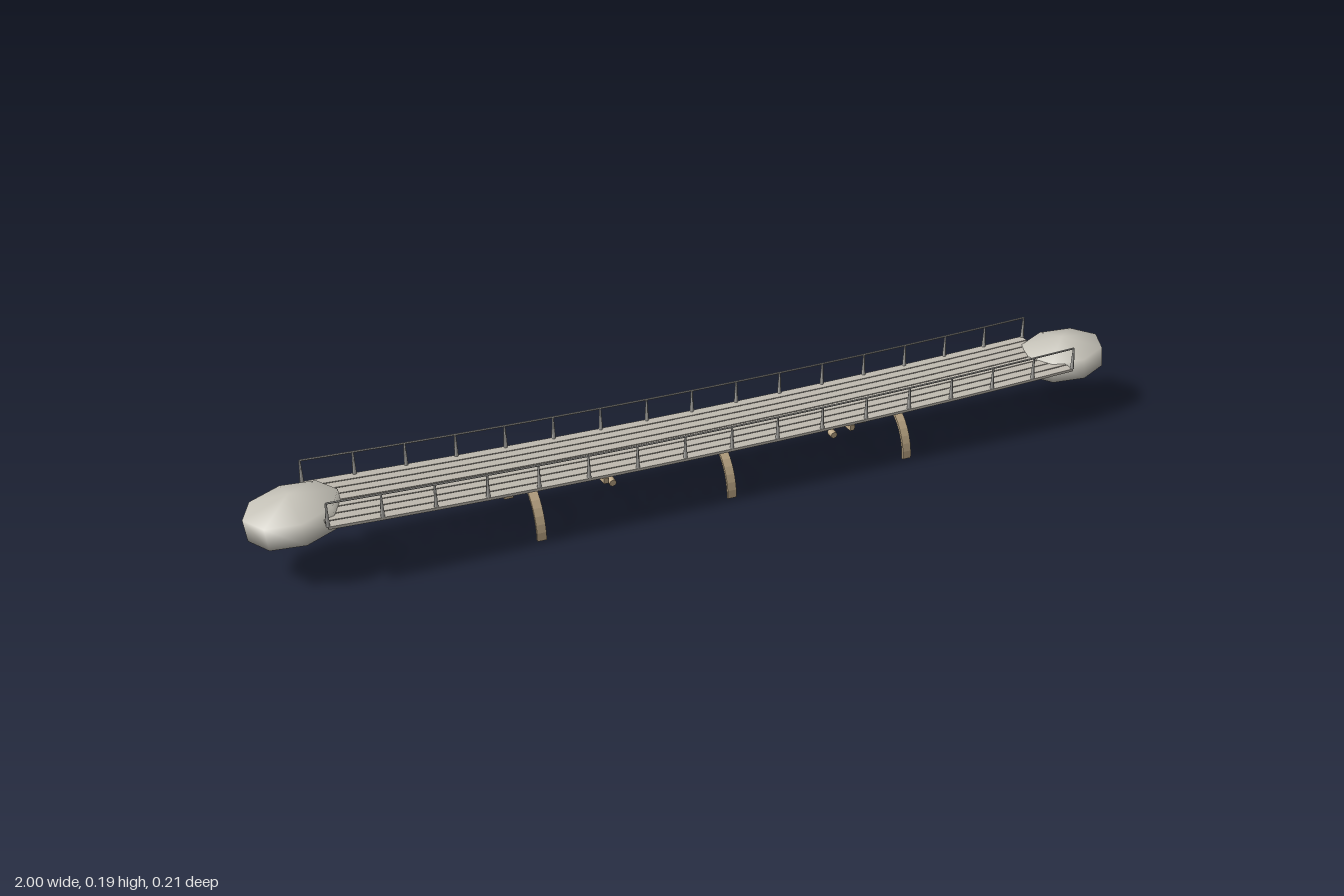
import * as THREE from 'three';

const HALF = 0.86; // half length of the deck
const RAIL_Z = 0.1;

// Height of the gentle sag above its lowest point
const sag = (x) => 0.018 * (x / HALF) ** 2;

export function createModel() {
  const stone = new THREE.MeshStandardMaterial({ color: 0xc6c3b9 });
  stone.name = 'pale stone';
  const board = new THREE.MeshStandardMaterial({ color: 0xbfbab0 });
  board.name = 'weathered board';
  const timber = new THREE.MeshStandardMaterial({ color: 0xc0aa88 });
  timber.name = 'tan timber';
  const metal = new THREE.MeshStandardMaterial({ color: 0xb0afab });
  metal.name = 'grey metal';

  const model = new THREE.Group();
  model.name = 'footbridge';
  const add = (name, geometry, material, x = 0, y = 0, z = 0) => {
    const mesh = new THREE.Mesh(geometry, material);
    mesh.name = name;
    mesh.position.set(x, y, z);
    model.add(mesh);
    return mesh;
  };

  // Deck: eight long boards bent along the sag
  const pitch = 0.0264;
  const plank = new THREE.BoxGeometry(HALF * 2, 0.006, pitch - 0.003, 16, 1, 1);
  const p = plank.attributes.position;
  for (let i = 0; i < p.count; i++) p.setY(i, p.getY(i) + sag(p.getX(i)));
  plank.computeVertexNormals();
  for (let i = 0; i < 8; i++) add('deckPlank', plank, board, 0, 0.114, (i - 3.5) * pitch);

  // Railings: tapered posts and a thin top rail on each side
  const post = new THREE.CylinderGeometry(0.002, 0.0045, 0.05, 6);
  const railPoints = [];
  for (let i = 0; i <= 16; i++) {
    const x = -HALF + (i * HALF) / 8;
    railPoints.push(new THREE.Vector3(x, 0.166 + sag(x), 0));
  }
  const rail = new THREE.TubeGeometry(new THREE.CatmullRomCurve3(railPoints), 32, 0.002, 6);
  for (const side of [-1, 1]) {
    add('handrail', rail, metal, 0, 0, side * RAIL_Z);
    for (const { x } of railPoints) add('railPost', post, metal, x, 0.141 + sag(x), side * RAIL_Z);
  }

  // Arched legs: half rings spanning the width under the deck
  const arch = new THREE.Shape();
  arch.absellipse(0, 0, 0.103, 0.111, 0, Math.PI, false);
  arch.lineTo(-0.097, 0);
  arch.absellipse(0, 0, 0.097, 0.104, Math.PI, 0, true);
  arch.closePath();
  const archGeometry = new THREE.ExtrudeGeometry(arch, { depth: 0.02, bevelEnabled: false, curveSegments: 10 });
  archGeometry.translate(0, 0, -0.01).rotateY(Math.PI / 2);
  for (const x of [-0.43, 0, 0.43]) add('archLeg', archGeometry, timber, x, 0, 0);

  // Cross beams and short pegs below the deck
  const beam = new THREE.BoxGeometry(0.011, 0.012, 0.21);
  const peg = new THREE.CylinderGeometry(0.008, 0.008, 0.017, 8).rotateX(Math.PI / 2);
  for (const side of [-1, 1]) {
    add('crossBeam', beam, timber, side * 0.287, 0.106, 0);
    for (const z of [-0.065, 0.065]) {
      add('peg', peg, timber, side * 0.26, 0.081, z).rotation.x = Math.sign(z) * 0.15;
    }
  }

  // End boulders: squat faceted outlines, both leaning the same way
  const boulder = new THREE.SphereGeometry(1, 8, 3);
  for (const side of [-1, 1]) {
    const rock = add('endBoulder', boulder, stone, side * 0.904, 0.12, 0);
    rock.scale.set(0.111, 0.048, 0.102);
    rock.rotation.z = 0.13;
  }

  return model;
}
